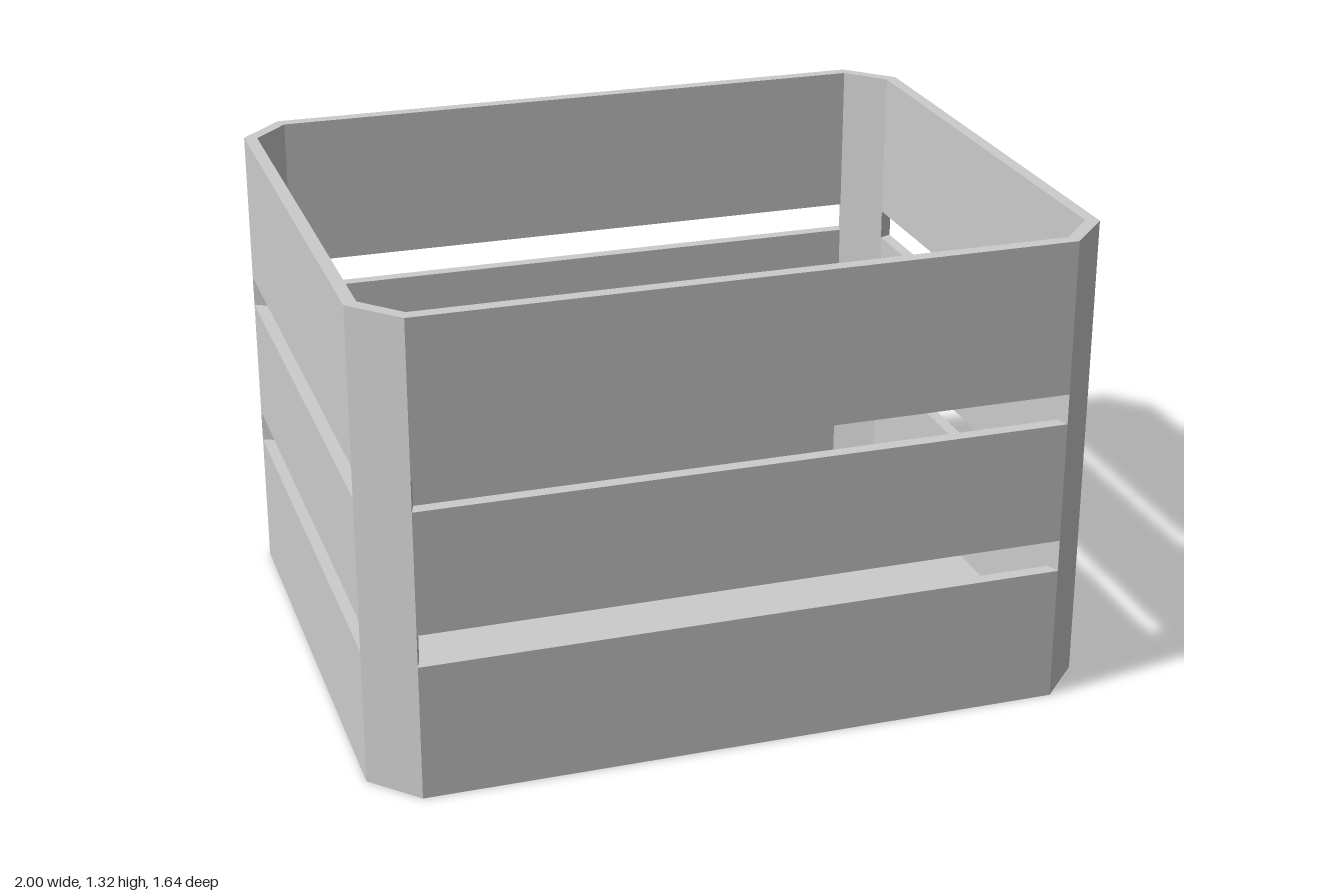
import * as THREE from 'three';

const HEIGHT = 1.32;
const FLOOR = 0.035;
const SLATS = [[0, 0.38], [0.47, 0.81], [0.895, HEIGHT]]; // bottom and top of each row

// Rectangle with cut corners, as [x, z] points; even edges are walls, odd edges are corners
function outline(x, z, cutX, cutZ) {
  const a = x - cutX, b = z - cutZ;
  return [[-a, z], [a, z], [x, b], [x, -b], [a, -z], [-a, -z], [-x, -b], [-x, b]];
}

// Upright prism over a ground polygon
function prism(name, points, y0, y1, material) {
  const shape = new THREE.Shape(points.map(([x, z]) => new THREE.Vector2(x, -z)));
  const geometry = new THREE.ExtrudeGeometry(shape, { depth: y1 - y0, bevelEnabled: false });
  geometry.rotateX(-Math.PI / 2);
  geometry.translate(0, y0, 0);
  const mesh = new THREE.Mesh(geometry, material);
  mesh.name = name;
  return mesh;
}

export function createModel() {
  const crate = new THREE.Group();
  crate.name = 'slattedCrate';
  const material = new THREE.MeshStandardMaterial({ color: 0xcccccc, flatShading: true });

  const outer = outline(1, 0.82, 0.12, 0.127);
  const inner = outline(0.965, 0.783, 0.097, 0.105);

  // Floor panel inside the walls
  crate.add(prism('floor', inner, 0, FLOOR, material));

  const walls = ['front', 'left', 'back', 'right'];
  const corners = ['frontLeft', 'backLeft', 'backRight', 'frontRight'];
  for (let i = 0; i < 8; i++) {
    const j = (i + 1) % 8, k = i >> 1;
    const section = [outer[i], outer[j], inner[j], inner[i]];
    if (i % 2) {
      // Full-height slanted corner post
      crate.add(prism(corners[k] + 'Post', section, 0, HEIGHT, material));
    } else {
      // Three rows of slats with open gaps between
      SLATS.forEach(([y0, y1], row) => {
        crate.add(prism(`${walls[k]}Slat${row + 1}`, section, y0, y1, material));
      });
    }
  }
  return crate;
}
